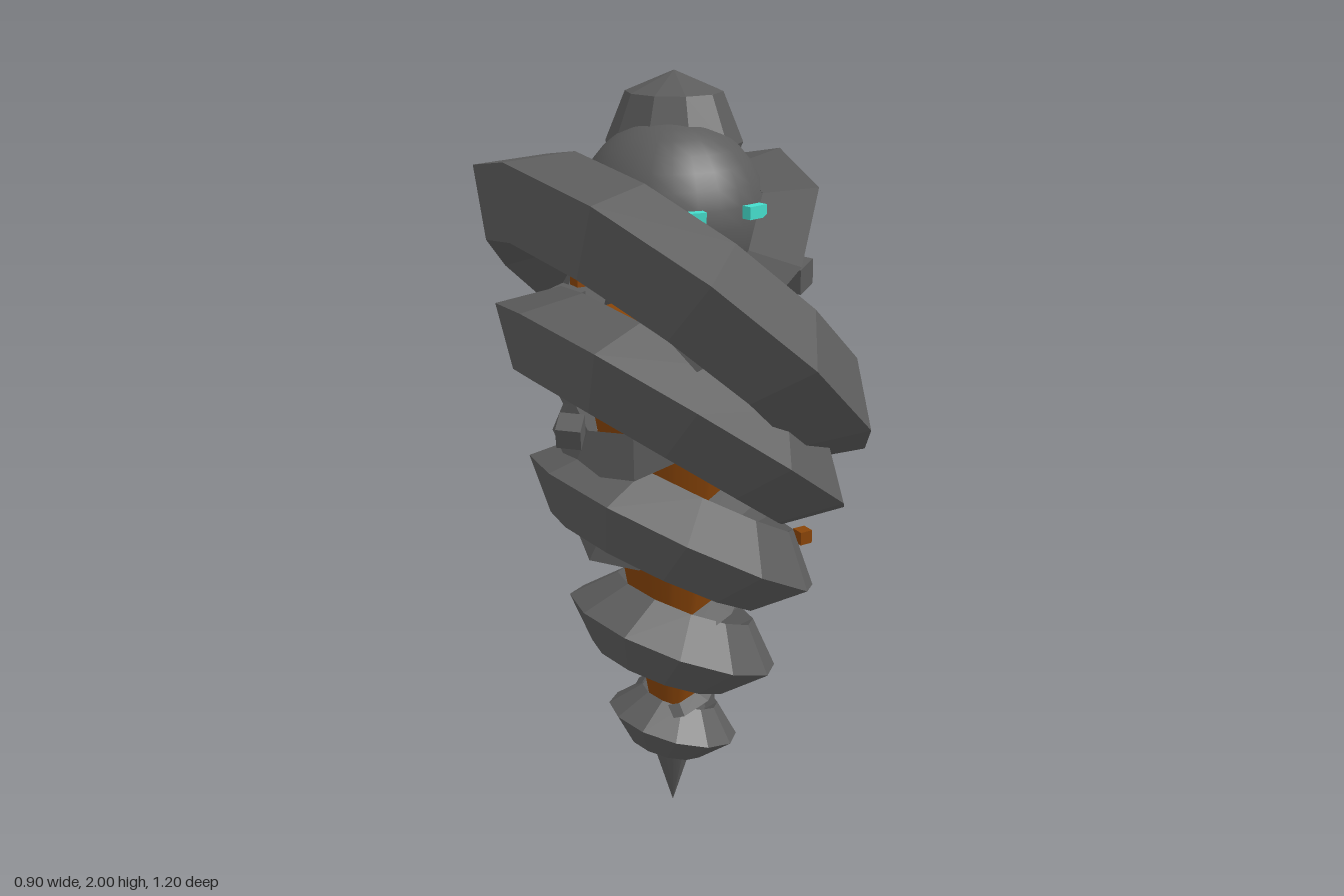
import * as THREE from 'three';

export function createModel() {
  const model = new THREE.Group();
  const stone = new THREE.MeshStandardMaterial({ name: 'dark grey', color: 0x5c5c5c });
  const facets = new THREE.MeshStandardMaterial({ name: 'faceted dark grey', color: 0x5c5c5c, flatShading: true });
  const rust = new THREE.MeshStandardMaterial({ name: 'rust brown', color: 0x884408 });
  const glow = new THREE.MeshStandardMaterial({ name: 'turquoise', color: 0x44ddcc });

  function add(name, geometry, material, position, rotation = [0, 0, 0]) {
    const mesh = new THREE.Mesh(geometry, material);
    mesh.name = name;
    mesh.position.set(...position);
    mesh.rotation.set(...rotation);
    model.add(mesh);
    return mesh;
  }

  // ring lying flat, then leaned sideways about z
  function addRing(name, outer, tube, sides, segments, y, lean) {
    const g = new THREE.TorusGeometry(outer - tube, tube, sides, segments);
    g.rotateX(Math.PI / 2);
    add(name, g, facets, [0, y, 0], [0, 0, lean]);
  }

  // whirling rings: [outer radius, tube radius, height], each with a smaller ring leaning the other way
  const rings = [
    [0.6, 0.13, 1.43],
    [0.517, 0.12, 1.175],
    [0.412, 0.112, 0.86],
    [0.295, 0.1, 0.54],
    [0.182, 0.075, 0.265],
  ];
  rings.forEach(([outer, tube, y], i) => {
    const lean = THREE.MathUtils.degToRad(42 - 6 * i);
    addRing('outerRing', outer, tube, 4, 12, y, -lean);
    addRing('innerRing', outer * 0.7, outer * 0.128, 3, 10, y + 0.09, lean);
  });

  // tapering core and pointed foot
  add('core', new THREE.CylinderGeometry(0.24, 0.05, 1.15, 12), rust, [0, 0.825, 0]);
  add('footSpike', new THREE.ConeGeometry(0.09, 0.3, 12), stone, [0, 0.15, 0], [Math.PI, 0, 0]);

  // head with a small lump on the crown
  add('head', new THREE.SphereGeometry(0.23, 24, 16), stone, [-0.005, 1.67, 0]);
  add('crownLump', new THREE.SphereGeometry(0.168, 10, 4), facets, [0.04, 1.832, -0.06]);

  // eyes
  for (const side of [-1, 1]) {
    add('eye', new THREE.BoxGeometry(0.055, 0.03, 0.025), glow,
      [side * 0.084, 1.705, 0.227], [0, side * 0.2, 0]);
  }

  // small glowing chips: three around the neck, two further out
  const chip = new THREE.BoxGeometry(0.038, 0.038, 0.038);
  for (let i = 0; i < 3; i++) {
    const a = Math.PI / 3 + (i * 2 * Math.PI) / 3;
    add('rustChip', chip, rust, [Math.cos(a) * 0.255, 1.545, Math.sin(a) * 0.255]);
  }
  add('rustChip', chip, rust, [0.28, 1.29, 0]);
  add('rustChip', chip, rust, [0.425, 0.718, 0]);

  // floating rubble: [x, y, z, size, turn]
  const rubble = [
    [0.395, 1.462, -0.035, 0.072, 0.5],
    [-0.345, 1.205, 0.1, 0.06, 0.9],
    [-0.2, 1.42, -0.2, 0.08, 0.3],
    [0.1, 0.29, -0.02, 0.06, 0.2],
    [0.09, 0.64, -0.05, 0.06, 0.6],
  ];
  for (const [x, y, z, size, turn] of rubble) {
    add('rubble', new THREE.BoxGeometry(size, size, size), facets, [x, y, z], [0.1, turn, turn * 0.4]);
  }

  return model;
}
